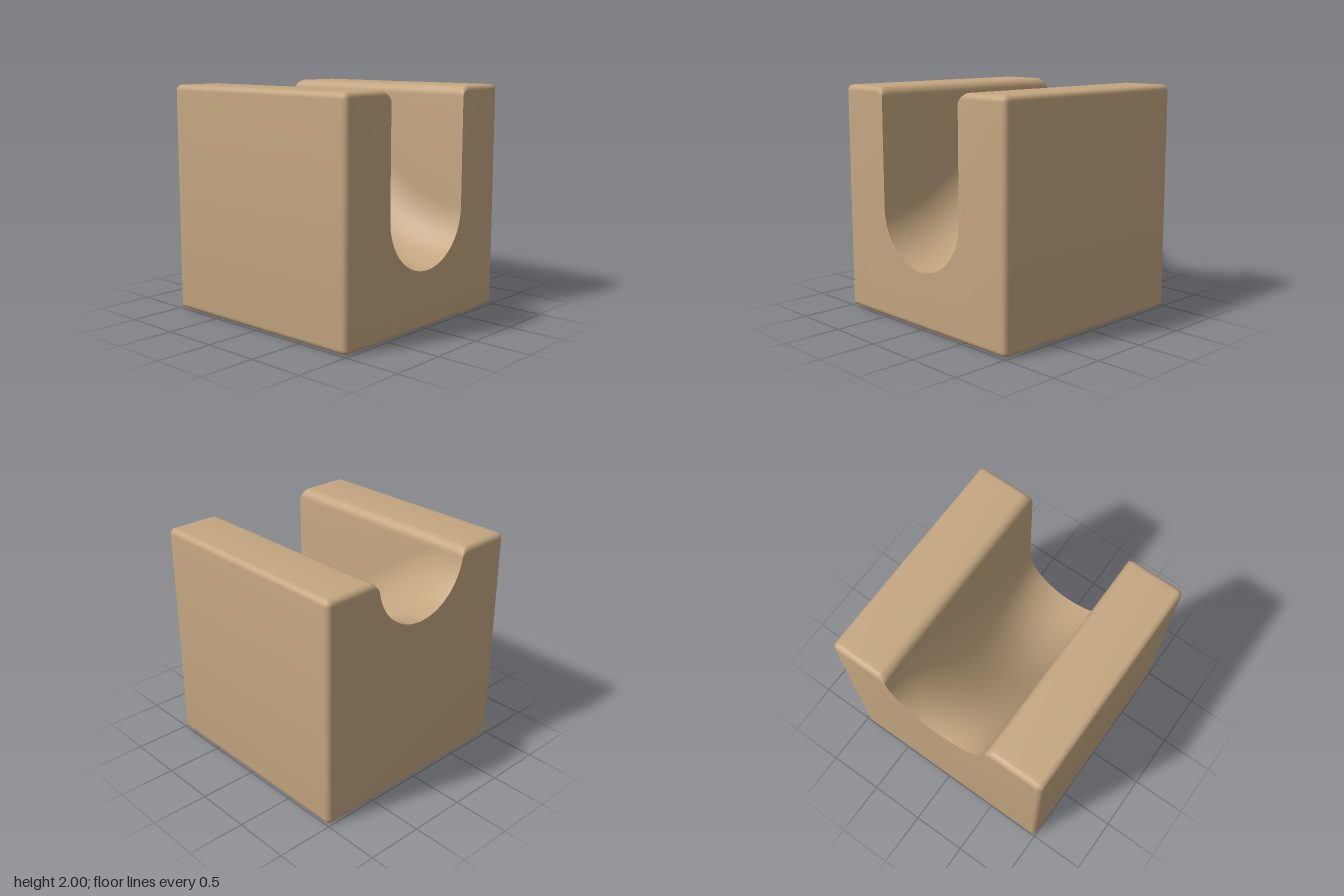
import * as THREE from 'three';
import { toCreasedNormals } from 'three/addons/utils/BufferGeometryUtils.js';

const EDGE = 0.05;     // rounding of the outer edges
const LIP = 0.085;     // rounding of the channel's upper edges
const RADIUS = 0.48;   // channel radius
const STEPS = 6;

// Half of the cross-section at x, as [z, y], from channel floor over the lip to the base
function halfSection(x, inset) {
  const pts = [];
  const centre = 1.485 - 0.5075 * Math.sin(x * Math.PI / 2);
  const slope = 0.5075 * Math.PI / 2 * Math.cos(x * Math.PI / 2);
  const depth = RADIUS * Math.sqrt(1 + slope * slope);
  const lipY = 2 - LIP;

  // rounded channel floor
  const end = Math.acos(Math.max(0, (centre - lipY) / depth));
  for (let i = 0; i <= 20; i++) {
    const a = end * i / 20;
    pts.push([RADIUS * Math.sin(a), centre - depth * Math.cos(a)]);
  }
  // channel wall and lip
  const wall = RADIUS * Math.sin(end);
  for (let i = 0; i <= STEPS; i++) {
    const a = Math.PI / 2 * i / STEPS;
    pts.push([wall + LIP * (1 - Math.cos(a)), lipY + (LIP - inset) * Math.sin(a)]);
  }
  // outer top and bottom corners
  const r = Math.max(EDGE - inset, 0.001);
  const out = 1 - inset - r;
  for (const [y, from] of [[2 - inset - r, Math.PI / 2], [inset + r, 0]]) {
    for (let i = 0; i <= STEPS; i++) {
      const a = from - Math.PI / 2 * i / STEPS;
      pts.push([out + r * Math.cos(a), y + r * Math.sin(a)]);
    }
  }
  return pts;
}

function section(x, inset) {
  const half = halfSection(x, inset);
  const mirrored = half.slice(1).reverse().map(([z, y]) => [-z, y]);
  return half.concat(mirrored).map(([z, y]) => [x, y, z]);
}

function blockGeometry() {
  // stations along x, with rounded ends
  const stations = [];
  for (let i = 0; i < STEPS; i++) {
    const a = Math.PI / 2 * (1 - i / STEPS);
    stations.push([-1 + EDGE - EDGE * Math.sin(a), EDGE * (1 - Math.cos(a))]);
  }
  const mirror = stations.map(([x, d]) => [-x, d]).reverse();
  for (let i = 0; i <= 48; i++) stations.push([(1 - EDGE) * (i / 24 - 1), 0]);
  stations.push(...mirror);

  const rings = stations.map(([x, d]) => section(x, d));
  const n = rings[0].length;
  const pos = [];
  const tri = (a, b, c) => pos.push(...a, ...b, ...c);
  for (let i = 0; i < rings.length - 1; i++) {
    for (let j = 0; j < n; j++) {
      const k = (j + 1) % n;
      tri(rings[i][j], rings[i][k], rings[i + 1][k]);
      tri(rings[i][j], rings[i + 1][k], rings[i + 1][j]);
    }
  }
  // flat end faces
  for (const [ring, side] of [[rings[0], -1], [rings[rings.length - 1], 1]]) {
    const outline = ring.map(p => new THREE.Vector2(p[2], p[1]));
    for (const [a, b, c] of THREE.ShapeUtils.triangulateShape(outline, [])) {
      const area = THREE.ShapeUtils.area([outline[a], outline[b], outline[c]]);
      if (area * side < 0) tri(ring[a], ring[b], ring[c]);
      else tri(ring[a], ring[c], ring[b]);
    }
  }
  const geo = new THREE.BufferGeometry();
  geo.setAttribute('position', new THREE.Float32BufferAttribute(pos, 3));
  return toCreasedNormals(geo, 0.5);
}

export function createModel() {
  const wood = new THREE.MeshStandardMaterial({ color: 0xc4a680 });
  wood.name = 'wood';
  const block = new THREE.Mesh(blockGeometry(), wood);
  block.name = 'rampBlock';
  const group = new THREE.Group();
  group.name = 'marbleRunBlock';
  group.add(block);
  return group;
}
